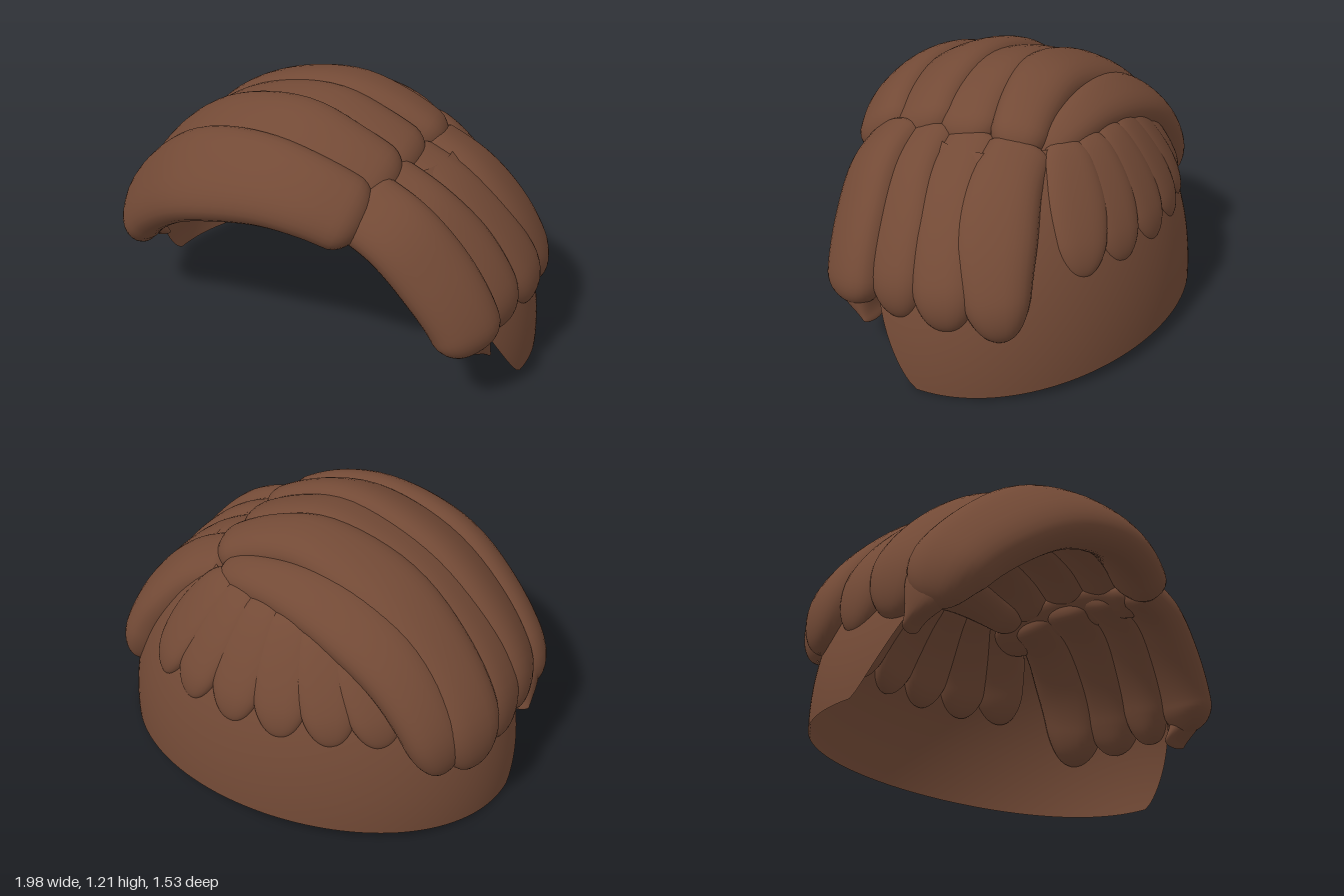
import * as THREE from 'three';

const hair = new THREE.MeshStandardMaterial({ color: 0x734a36, side: THREE.DoubleSide });
hair.name = 'brown hair';

// Ellipsoid of the head: azimuth a (0 = back), latitude p
const onHead = (a, p, s = 1) => new THREE.Vector3(
  0.985 * s * Math.cos(p) * Math.sin(a), 0.05 + 1.1 * s * Math.sin(p), -0.77 * s * Math.cos(p) * Math.cos(a));

// Grid of points (rows x cols) to an indexed smooth geometry
function gridGeometry(rows, cols, closed, pointAt) {
  const pos = [], idx = [];
  for (let i = 0; i <= rows; i++) for (let k = 0; k < cols; k++) pos.push(...pointAt(i, k).toArray());
  for (let i = 0; i < rows; i++) for (let k = 0; k < (closed ? cols : cols - 1); k++) {
    const a = i * cols + k, b = i * cols + (k + 1) % cols;
    idx.push(a, b, a + cols, b, b + cols, a + cols);
  }
  const g = new THREE.BufferGeometry();
  g.setAttribute('position', new THREE.Float32BufferAttribute(pos, 3));
  g.setIndex(idx);
  g.computeVertexNormals();
  return g;
}

// Puffy lock: oval section swept along a path, facing away from the head.
// widths = half width at root, middle and tip; thick = half thickness
function lock(name, pts, widths, thick, rootCap = 0.07, tipCap = 0.15) {
  const curve = new THREE.CatmullRomCurve3(pts.map(p => p.isVector3 ? p : new THREE.Vector3(...p)));
  const rows = 44, cols = 28, rings = [];
  for (let i = 0; i <= rows; i++) {
    const t = 0.5 - 0.5 * Math.cos(Math.PI * i / rows);
    const c = curve.getPointAt(t), T = curve.getTangentAt(t);
    const N = new THREE.Vector3(c.x, c.y - 0.2, c.z / 0.77);
    N.addScaledVector(T, -N.dot(T)).normalize();
    const B = N.clone().cross(T);
    const round = (d, cap) => Math.sqrt(Math.max(0.0004, 1 - (1 - Math.min(1, d / cap)) ** 2));
    const s = round(t, rootCap) * round(1 - t, tipCap);
    const [a, m, e] = widths;
    const w = t < 0.5 ? THREE.MathUtils.lerp(a, m, THREE.MathUtils.smoothstep(t, 0, 0.5))
      : THREE.MathUtils.lerp(m, e, THREE.MathUtils.smoothstep(t, 0.5, 1));
    rings.push({ c, N, B, w: w * s, h: thick * s });
  }
  const soft = v => Math.sign(v) * Math.abs(v) ** 0.85;
  const geo = gridGeometry(rows, cols, true, (i, k) => {
    const r = rings[i], q = k / cols * Math.PI * 2;
    return r.c.clone().addScaledVector(r.B, r.w * soft(Math.cos(q))).addScaledVector(r.N, r.h * soft(Math.sin(q)));
  });
  const mesh = new THREE.Mesh(geo, hair);
  mesh.name = name;
  return mesh;
}

export function createModel() {
  const model = new THREE.Group();
  model.name = 'hairpiece';

  // Smooth cap round the back and sides, open at the front
  const capGeo = gridGeometry(40, 81, false, (i, k) => {
    const u = k / 40 - 1, v = i / 40;
    const low = 0.06 * Math.cos(u * Math.PI / 2) ** 2;
    const y = THREE.MathUtils.lerp(low, 0.97, v);
    const a = -u * (Math.PI / 2 + 0.04 + 0.33 * Math.min(1, y / 0.36) ** 0.75);
    return onHead(a, Math.asin((y - 0.05) / 1.1));
  });
  const cap = new THREE.Mesh(capGeo, hair);
  cap.name = 'backCap';
  model.add(cap);

  // Long locks swept from the parting over the crown, front to back
  const sweep = new THREE.Group();
  sweep.name = 'longSweptLocks';
  sweep.add(
    lock('frontLongLock', [[0.43, 0.85, 0.49], [0.2, 0.945, 0.56], [-0.05, 0.97, 0.585], [-0.4, 0.885, 0.57],
      [-0.65, 0.715, 0.51], [-0.84, 0.5, 0.44], [-0.9, 0.32, 0.41]], [0.17, 0.22, 0.175], 0.11),
    lock('secondLongLock', [[0.45, 0.92, 0.28], [0.22, 1.03, 0.33], [-0.03, 1.08, 0.34], [-0.4, 0.985, 0.325],
      [-0.66, 0.81, 0.28], [-0.85, 0.58, 0.23], [-0.92, 0.33, 0.19]], [0.16, 0.21, 0.16], 0.105),
    lock('thirdLongLock', [[0.45, 0.94, 0.07], [0.22, 1.05, 0.11], [-0.02, 1.1, 0.12], [-0.4, 1.0, 0.115],
      [-0.66, 0.82, 0.08], [-0.85, 0.59, 0.03], [-0.93, 0.32, -0.02]], [0.15, 0.18, 0.15], 0.1),
    lock('backLongLock', [[0.44, 0.93, -0.17], [0.22, 1.05, -0.13], [-0.02, 1.1, -0.11], [-0.4, 1.0, -0.13],
      [-0.66, 0.81, -0.18], [-0.84, 0.58, -0.23], [-0.91, 0.32, -0.27]], [0.13, 0.19, 0.17], 0.11),
    lock('crownLock', [[0.36, 0.9, -0.24], [0.18, 0.97, -0.3], [-0.05, 0.995, -0.325], [-0.3, 0.95, -0.345],
      [-0.55, 0.82, -0.37], [-0.74, 0.6, -0.39], [-0.83, 0.34, -0.38]], [0.1, 0.16, 0.13], 0.1));
  model.add(sweep);

  // Short locks falling from the parting down the other side
  const fall = new THREE.Group();
  fall.name = 'shortSideLocks';
  fall.add(
    lock('frontShortLock', [[0.35, 0.9, 0.43], [0.56, 0.815, 0.44], [0.73, 0.65, 0.42], [0.86, 0.45, 0.395],
      [0.9, 0.3, 0.38]], [0.17, 0.175, 0.16], 0.1),
    lock('secondShortLock', [[0.35, 0.93, 0.26], [0.57, 0.83, 0.25], [0.75, 0.66, 0.2], [0.87, 0.47, 0.16],
      [0.91, 0.3, 0.13]], [0.15, 0.155, 0.13], 0.1, 0.07, 0.22),
    lock('thirdShortLock', [[0.35, 0.94, 0.05], [0.57, 0.84, 0.03], [0.76, 0.66, -0.02], [0.88, 0.47, -0.07],
      [0.92, 0.3, -0.1]], [0.15, 0.155, 0.14], 0.1, 0.07, 0.22),
    lock('backShortLock', [[0.35, 0.94, -0.17], [0.57, 0.83, -0.19], [0.73, 0.66, -0.23], [0.82, 0.48, -0.28],
      [0.86, 0.28, -0.33]], [0.15, 0.18, 0.13], 0.105, 0.07, 0.22),
    lock('partingFill', [[0.38, 0.8, 0.46], [0.41, 0.87, 0.25], [0.42, 0.89, 0.03], [0.4, 0.88, -0.2],
      [0.36, 0.82, -0.4]], [0.09, 0.12, 0.12], 0.05));
  model.add(fall);

  // Pointed wisps by the temples
  for (const s of [-1, 1]) {
    model.add(lock('templeWisp', [[0.78 * s, 0.62, 0.44], [0.89 * s, 0.42, 0.39], [0.9 * s, 0.245, 0.275]],
      [0.12, 0.12, 0.012], 0.06, 0.2, 0.06));
  }

  // Fan of short locks hanging down the back of the head
  const fan = new THREE.Group();
  fan.name = 'backFanLocks';
  for (const a of [-1.0, -0.74, -0.47, -0.19, 0.09, 0.38, 0.65]) {
    const path = [1.05, 0.85, 0.62, 0.41].map((p, i) => onHead(a * (0.9 + 0.035 * i), p, 0.98));
    fan.add(lock('backLock', path, [0.11, 0.14, 0.11], 0.055, 0.2, 0.25));
  }
  model.add(fan);
  return model;
}
